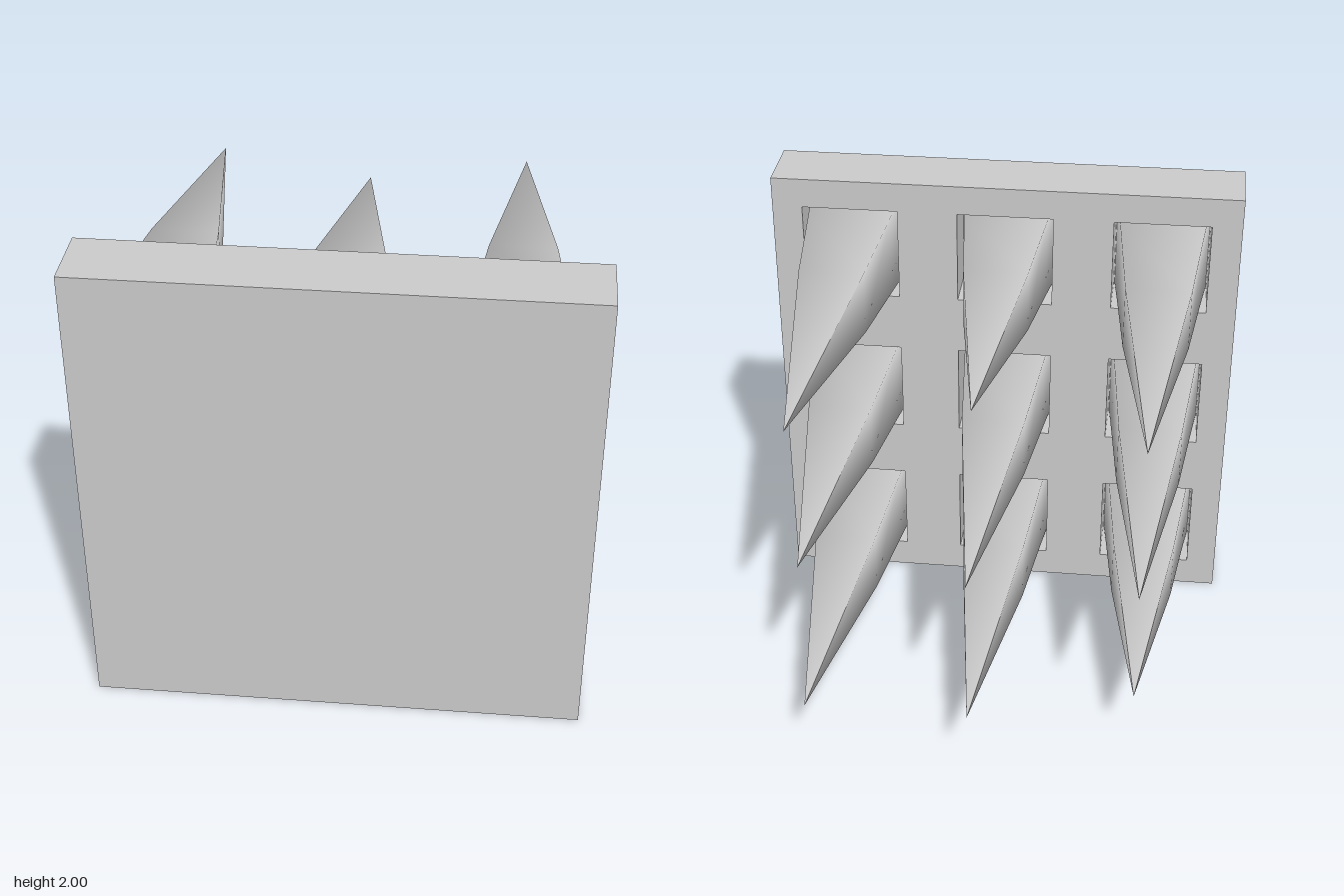
import * as THREE from 'three';

const BACK = 0.575, FLOOR = 0.8, FRONT = 0.86;
const PITCH = 2 / 3, HOLE = 0.205;

// Traces a square of half-width h around (x, y)
function square(path, x, y, h) {
  path.moveTo(x - h, y - h);
  path.lineTo(x + h, y - h);
  path.lineTo(x + h, y + h);
  path.lineTo(x - h, y + h);
  path.closePath();
  return path;
}

export function createModel() {
  const group = new THREE.Group();
  const material = new THREE.MeshStandardMaterial({ color: 0xcccccc });
  const add = (geometry, name) => {
    const mesh = new THREE.Mesh(geometry, material);
    mesh.name = name;
    group.add(mesh);
    return mesh;
  };

  // Solid front plate
  add(new THREE.BoxGeometry(2, 2, FRONT - FLOOR), 'frontPlate')
    .position.set(0, 1, (FRONT + FLOOR) / 2);

  // Back plate with a square socket around each spike
  const plate = square(new THREE.Shape(), 0, 1, 1);
  const centres = [];
  for (const row of [1, 0, -1]) {
    for (const col of [1, 0, -1]) centres.push([col * PITCH, 1 + row * PITCH]);
  }
  for (const [x, y] of centres) plate.holes.push(square(new THREE.Path(), x, y, HOLE));
  add(new THREE.ExtrudeGeometry(plate, { depth: FLOOR - BACK, bevelEnabled: false }), 'socketPlate')
    .position.z = BACK;

  // Four-sided, softly shaded spike: half-widths and heights above the socket floor
  const profile = [[0.2, 0], [0.177, 0.225], [0.134, 0.67], [0, 1.655]]
    .map(([half, height]) => new THREE.Vector2(half * Math.SQRT2, height));
  const spike = new THREE.LatheGeometry(profile, 4);
  spike.rotateY(Math.PI / 4);
  spike.rotateX(-Math.PI / 2);

  // Three of the nine spikes are shorter
  const tips = [-0.855, -0.64, -0.855, -0.8, -0.855, -0.855, -0.855, -0.855, -0.65];
  centres.forEach(([x, y], i) => {
    const mesh = add(spike, `spike${i + 1}`);
    mesh.position.set(x, y, FLOOR);
    mesh.scale.z = (FLOOR - tips[i]) / 1.655;
  });

  return group;
}
